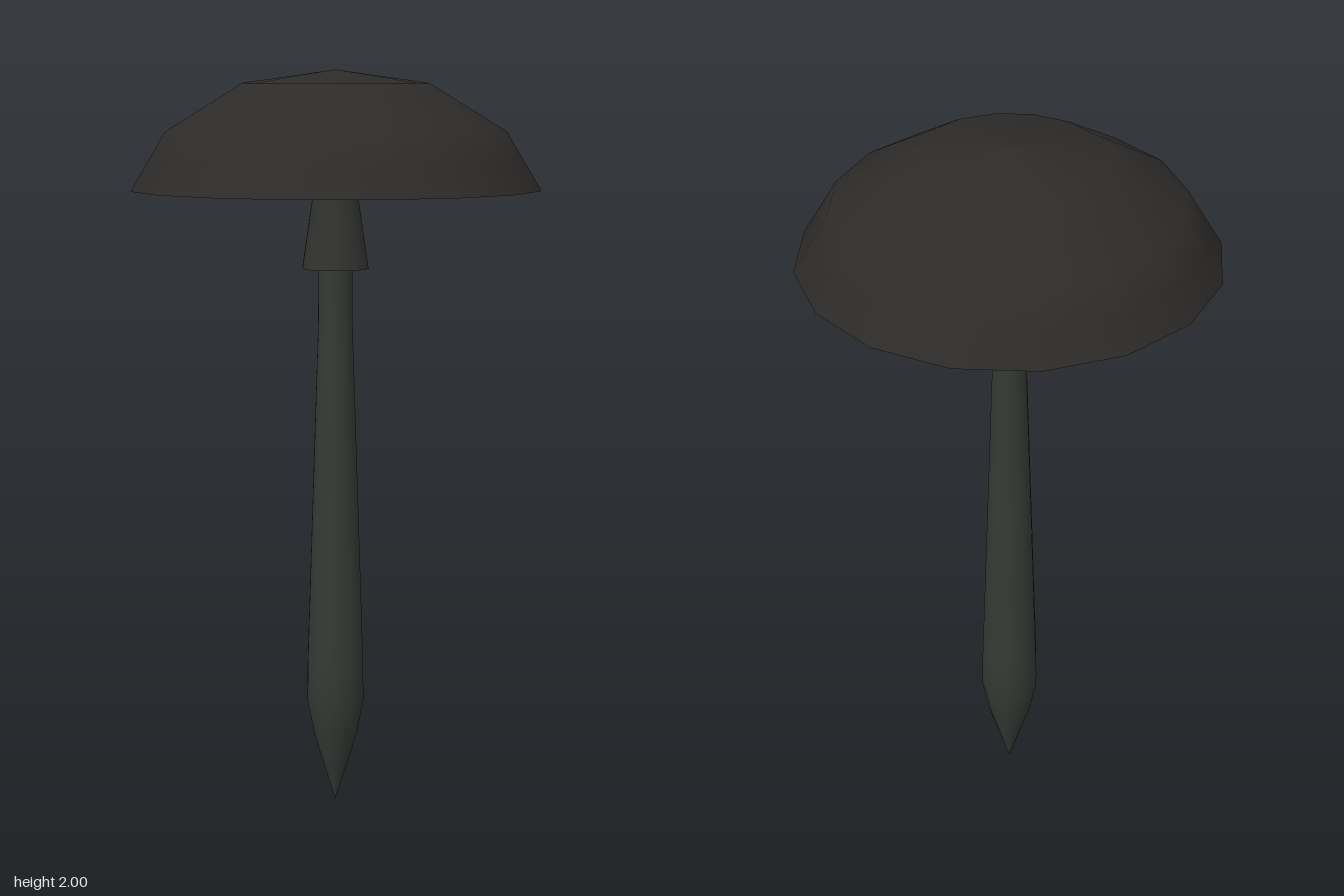
import * as THREE from 'three';

const SIDES = 16;
const TURN = -0.03; // slight twist of the facets around the axis

// Smooth turned part from [radius, height] points, listed bottom to top for outward faces
function turned(name, color, points, side = THREE.FrontSide) {
  const profile = points.map(([r, y]) => new THREE.Vector2(r, y));
  const geometry = new THREE.LatheGeometry(profile, SIDES, TURN, Math.PI * 2);
  const mesh = new THREE.Mesh(geometry, new THREE.MeshStandardMaterial({ color, side }));
  mesh.name = name;
  return mesh;
}

export function createModel() {
  const model = new THREE.Group();
  model.name = 'stakeLamp';

  // Domed cap: crown, creased rim band and shallow hollow underside
  const cap = new THREE.Group();
  cap.name = 'cap';
  cap.add(
    turned('capCrown', 0x2d2b29, [[0.5, 1.765], [0.455, 1.84], [0.25, 1.965], [0, 2]]),
    turned('capRim', 0x2d2b29, [[0.548, 1.685], [0.5, 1.765]], THREE.DoubleSide),
    turned('capUnderside', 0x23282c, [[0, 1.745], [0.25, 1.73], [0.5, 1.7], [0.548, 1.685]]),
  );

  // Flared sleeve, open at the bottom around the stem
  const sleeve = turned('sleeve', 0x32322f, [[0.09, 1.475], [0.05, 1.745]], THREE.DoubleSide);

  // Slender stem swelling towards a pointed ground spike
  const stem = turned('stem', 0x353a35, [
    [0, 0.005], [0.058, 0.19], [0.078, 0.29], [0.077, 0.4], [0.047, 1.32], [0.045, 1.6],
  ]);

  model.add(cap, sleeve, stem);
  return model;
}
